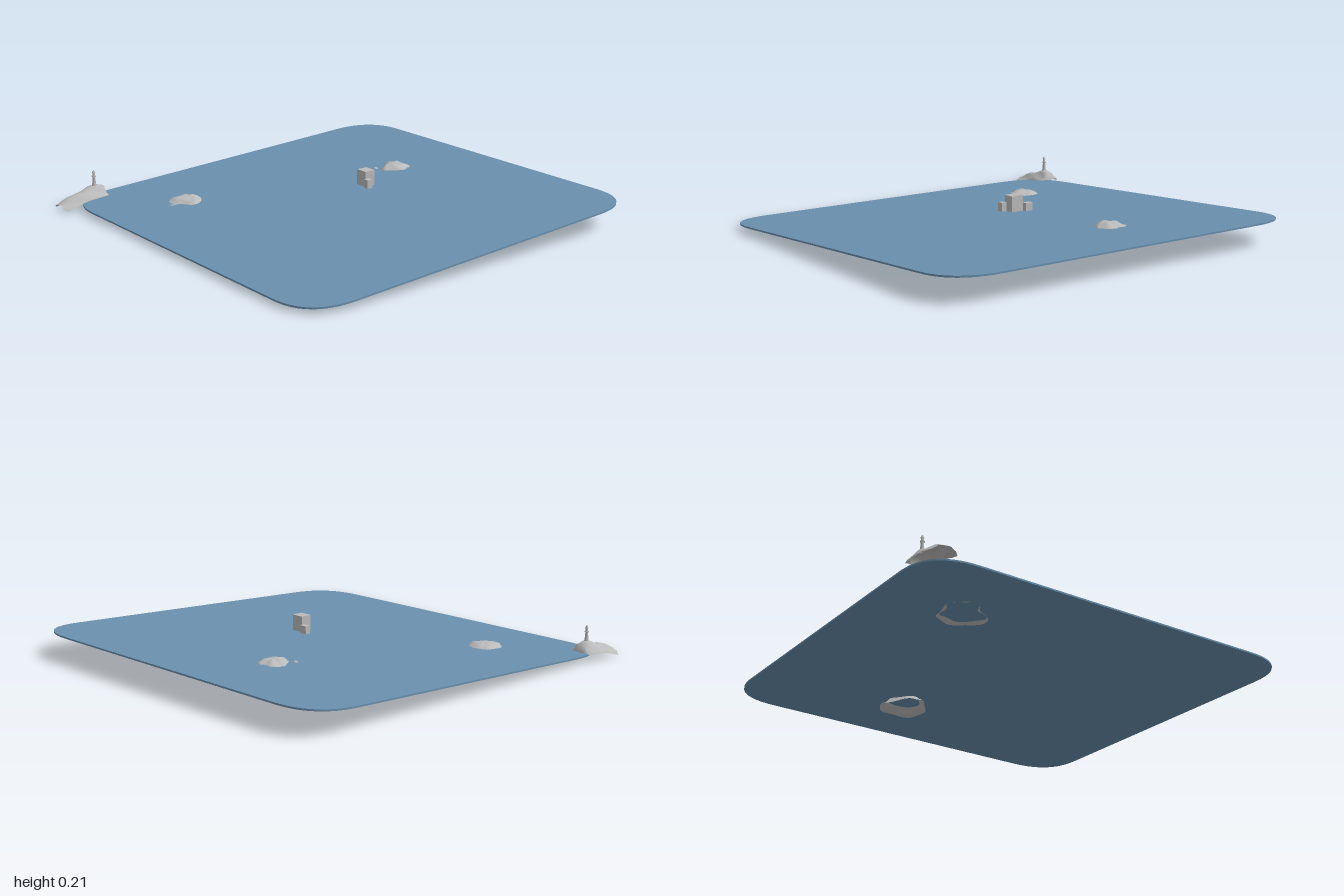
import * as THREE from 'three';

const water = new THREE.MeshStandardMaterial({ color: 0x6a90ae });
water.name = 'waterBlue';
const stone = new THREE.MeshStandardMaterial({ color: 0xbababa, side: THREE.DoubleSide });
stone.name = 'stoneGrey';

const seaY = z => 0.125 - 0.05 * (z + 1);

// Surface through rows of points; closed rows join end to start
function skin(rows, closed) {
  const n = rows[0].length, idx = [];
  for (let i = 0; i < rows.length - 1; i++) {
    for (let j = 0; j < (closed ? n : n - 1); j++) {
      const a = i * n + j, b = i * n + (j + 1) % n;
      idx.push(a, a + n, b, b, a + n, b + n);
    }
  }
  const g = new THREE.BufferGeometry();
  g.setAttribute('position', new THREE.Float32BufferAttribute(rows.flat(2), 3));
  g.setIndex(idx);
  g.computeVertexNormals();
  return g;
}

function add(parent, name, geometry, material, x = 0, y = 0, z = 0) {
  const m = new THREE.Mesh(geometry, material);
  m.name = name;
  m.position.set(x, y, z);
  parent.add(m);
  return m;
}

// Thin sloping sea slab with softly rounded corners
function sea() {
  const x0 = -0.965, x1 = 0.98, z0 = -1, z1 = 0.935, r = 0.24;
  const s = new THREE.Shape();
  s.moveTo(x0 + r, z0);
  s.lineTo(x1 - r, z0).quadraticCurveTo(x1, z0, x1, z0 + r);
  s.lineTo(x1, z1 - r).quadraticCurveTo(x1, z1, x1 - r, z1);
  s.lineTo(x0 + r, z1).quadraticCurveTo(x0, z1, x0, z1 - r);
  s.lineTo(x0, z0 + r).quadraticCurveTo(x0, z0, x0 + r, z0);
  const g = new THREE.ExtrudeGeometry(s, { depth: 0.008, bevelEnabled: false, curveSegments: 12 });
  g.rotateX(Math.PI / 2);
  const p = g.attributes.position;
  for (let i = 0; i < p.count; i++) p.setY(i, p.getY(i) + seaY(p.getZ(i)));
  g.computeVertexNormals();
  return g;
}

// Open rocky shell: shore outline in the middle, sunken skirt outside, low mesa inside
function island(shore, cx, cz, rimY, topY, skirt) {
  const curve = new THREE.CatmullRomCurve3(shore.map(([x, z]) => new THREE.Vector3(x, 0, z)), true);
  const pts = curve.getPoints(36).slice(0, 36);
  const levels = [[skirt, 0], [1.28, 0.22], [1, null], [0.86, 0.72], [0.6, 0.94], [0.3, 1], [0, 1]];
  const rows = levels.map(([f, h], k) => pts.map((p, j) => {
    const x = cx + (p.x - cx) * f, z = cz + (p.z - cz) * f;
    const bump = Math.sin(j * 0.9 + k) * 0.004 * Math.min(f, 1);
    const y = h === null ? seaY(z) : rimY + (topY - rimY) * h + bump;
    return [x, y, z];
  }));
  return skin(rows, true);
}

// Ridge of arched cross-sections: z, ground y, crest y, half width
function headland() {
  const stations = [
    [0.755, 0.045, 0.047, 0.052], [0.762, 0.04, 0.086, 0.055], [0.80, 0.038, 0.094, 0.056],
    [0.83, 0.036, 0.09, 0.058], [0.87, 0.032, 0.073, 0.058], [0.91, 0.025, 0.064, 0.059],
    [0.95, 0.012, 0.052, 0.059], [0.985, 0.002, 0.037, 0.058], [1.0, 0.012, 0.028, 0.045],
  ];
  const arch = [[-1, 0], [-0.88, 0.3], [-0.62, 0.52], [-0.42, 0.88], [-0.1, 1],
    [0.2, 0.97], [0.42, 0.8], [0.64, 0.45], [0.88, 0.3], [1, 0.08]];
  return skin(stations.map(([z, lo, hi, w], i) => arch.map(([u, v], j) => {
    const wave = Math.sin(i * 1.7 + j * 1.1) * 0.003;
    return [-0.925 + u * w + wave * 0.6, Math.max(0, lo + (hi - lo) * v + (v > 0.2 ? wave : 0)), z];
  })), false);
}

export function createModel() {
  const model = new THREE.Group();
  model.name = 'seaDiorama';
  add(model, 'sea', sea(), water);

  add(model, 'farIsland', island([[-0.29, -0.58], [-0.295, -0.55], [-0.265, -0.51], [-0.235, -0.47],
    [-0.205, -0.468], [-0.175, -0.50], [-0.147, -0.55], [-0.165, -0.60], [-0.215, -0.618],
    [-0.265, -0.61]], -0.22, -0.54, 0.062, 0.123, 1.6), stone);
  add(model, 'farIslet', new THREE.SphereGeometry(0.013, 8, 6).scale(1, 0.5, 0.9), stone,
    -0.265, seaY(-0.457), -0.457);
  add(model, 'nearIsland', island([[-0.605, 0.46], [-0.575, 0.445], [-0.53, 0.44], [-0.475, 0.48],
    [-0.465, 0.525], [-0.515, 0.56], [-0.535, 0.585], [-0.585, 0.588], [-0.615, 0.55],
    [-0.612, 0.50]], -0.54, 0.505, 0.034, 0.069, 1.5), stone);
  add(model, 'headland', headland(), stone);

  // Lighthouse: flared tower, gallery, lantern and pointed cap
  const profile = [[0.012, 0], [0.009, 0.012], [0.0065, 0.045], [0.0105, 0.047], [0.0105, 0.051],
    [0.006, 0.052], [0.006, 0.064], [0.009, 0.066], [0.0, 0.082]];
  add(model, 'lighthouse', new THREE.LatheGeometry(profile.map(p => new THREE.Vector2(...p)), 12),
    stone, -0.925, 0.09, 0.805);

  // Three floating blocks: x, z, width, height, depth
  const blocks = [[-0.03, -0.18, 0.04, 0.038, 0.028], [0.027, -0.148, 0.064, 0.075, 0.056],
    [0.075, -0.123, 0.028, 0.042, 0.03]];
  blocks.forEach(([x, z, w, h, d], i) =>
    add(model, 'block' + (i + 1), new THREE.BoxGeometry(w, h, d), stone, x, 0.14 + h / 2, z));
  return model;
}
